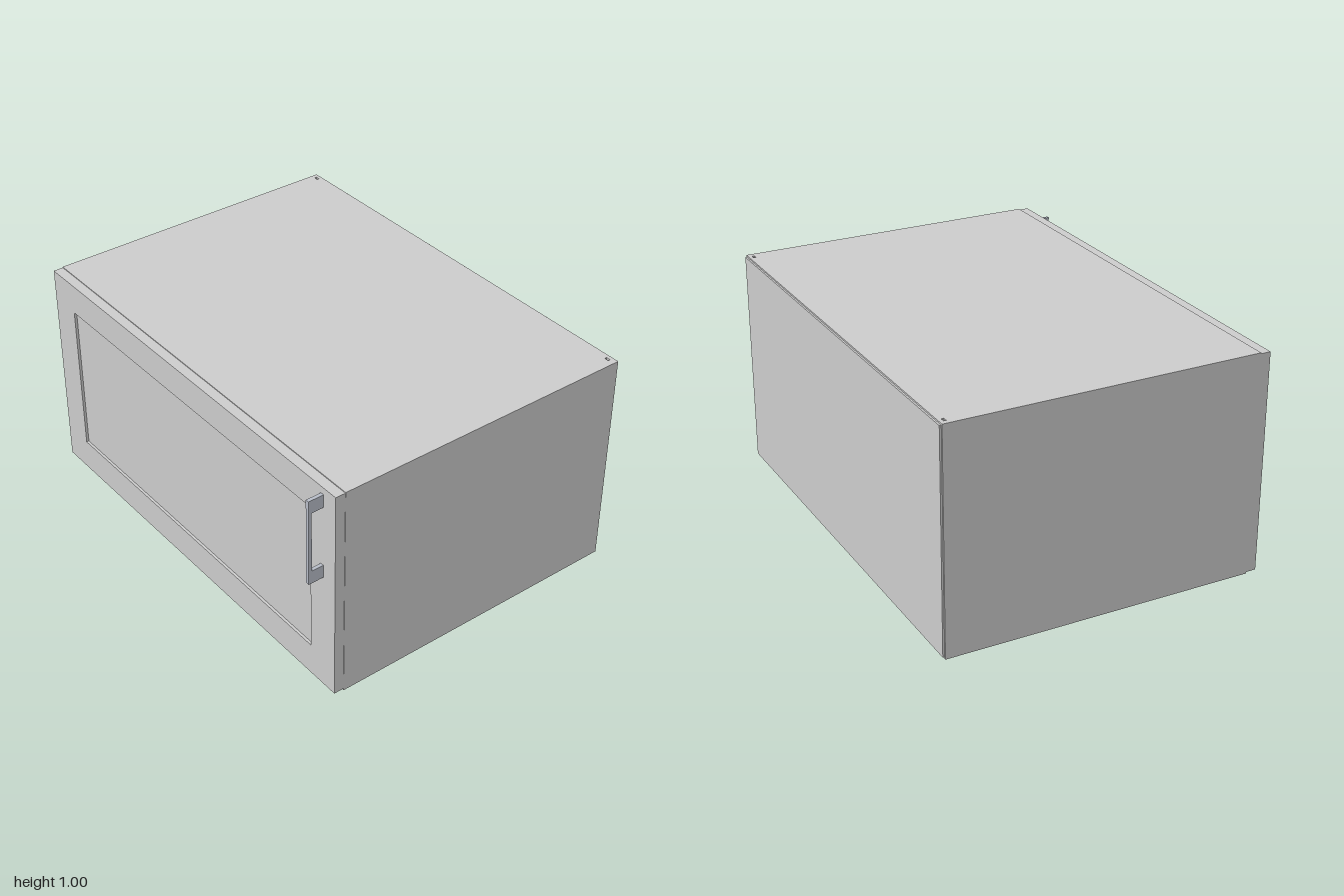
import * as THREE from 'three';

const grey = new THREE.MeshStandardMaterial({ color: 0xcccccc });
const steel = new THREE.MeshStandardMaterial({ color: 0xb8bdc8 });

// Rectangle traced as a shape outline or a hole
function rect(target, x0, y0, x1, y1) {
  target.moveTo(x0, y0);
  target.lineTo(x1, y0);
  target.lineTo(x1, y1);
  target.lineTo(x0, y1);
  target.closePath();
  return target;
}

const extrude = (shape, depth) => new THREE.ExtrudeGeometry(shape, { depth, bevelEnabled: false });

export function createModel() {
  const model = new THREE.Group();

  function add(name, geometry, material = grey) {
    const mesh = new THREE.Mesh(geometry, material);
    mesh.name = name;
    model.add(mesh);
    return mesh;
  }

  // Box given by its minimum and maximum corners
  function box(name, [x0, y0, z0], [x1, y1, z1]) {
    const mesh = add(name, new THREE.BoxGeometry(x1 - x0, y1 - y0, z1 - z0));
    mesh.position.set((x0 + x1) / 2, (y0 + y1) / 2, (z0 + z1) / 2);
  }

  const wall = 0.012, back = -0.752, front = 0.645;

  // Top and bottom panels, each with two small slots by the back corners
  for (const [name, y] of [['topPanel', 1 - wall], ['bottomPanel', 0]]) {
    const shape = rect(new THREE.Shape(), -1, -front, 1, -back);
    for (const x of [-0.968, 0.962]) {
      shape.holes.push(rect(new THREE.Path(), x - 0.01, 0.724, x + 0.01, 0.735));
    }
    const geometry = extrude(shape, wall);
    geometry.rotateX(-Math.PI / 2);
    add(name, geometry).position.y = y;
  }

  // Side walls
  for (const [name, s] of [['leftWall', 1], ['rightWall', -1]]) {
    const xs = [s, s * (1 - wall)].sort((a, b) => a - b);
    box(name, [xs[0], wall, back], [xs[1], 1 - wall, front]);
  }

  // Back panel with a stepped edge
  box('backPanel', [-0.993, 0.007, -0.76], [0.993, 0.993, -0.745]);

  // Door frame with a shallow recessed panel
  const frame = rect(new THREE.Shape(), -1, 0.007, 0.998, 0.996);
  frame.holes.push(rect(new THREE.Path(), -0.85, 0.155, 0.846, 0.855));
  add('doorFrame', extrude(frame, 0.69 - front)).position.z = front;
  box('doorPanel', [-0.85, 0.155, 0.65], [0.846, 0.855, 0.678]);

  // Bracket handle: a flat bar standing on two feet, drawn from the side
  const profile = new THREE.Shape([
    [0.69, 0.565], [0.76, 0.565], [0.76, 0.965], [0.69, 0.965],
    [0.69, 0.905], [0.745, 0.905], [0.745, 0.625], [0.69, 0.625],
  ].map(([z, y]) => new THREE.Vector2(-z, y)));
  const handle = extrude(profile, 0.016);
  handle.rotateY(Math.PI / 2);
  add('handle', handle, steel).position.x = 0.91;

  return model;
}
